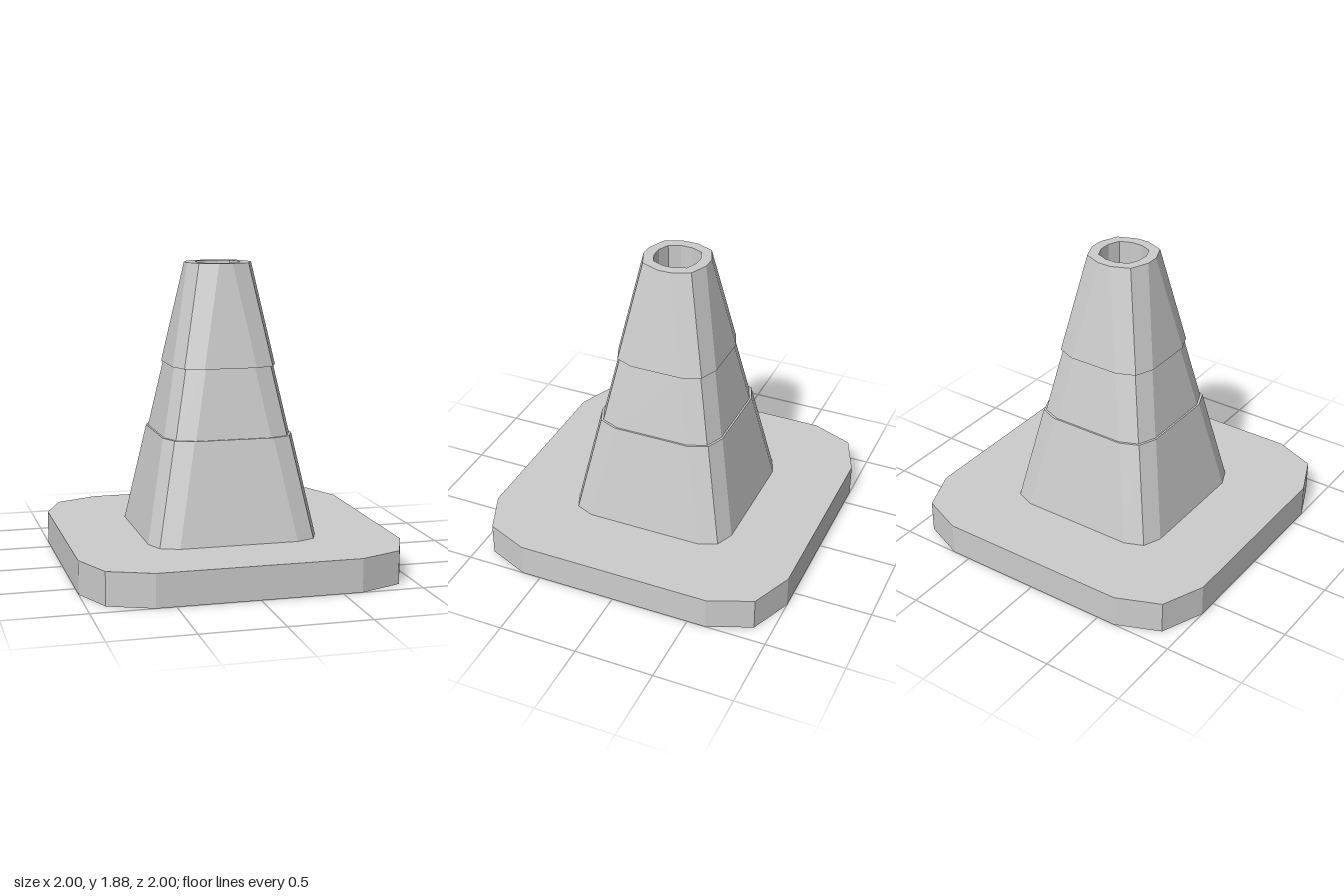
import * as THREE from 'three';

// Square outline with rounded corners, two facets per corner
function roundedSquare(half, radius) {
  const pts = [];
  for (let k = 0; k < 4; k++) {
    const mid = (k + 0.5) * Math.PI / 2;
    const cx = Math.sign(Math.cos(mid)) * (half - radius);
    const cy = Math.sign(Math.sin(mid)) * (half - radius);
    for (let j = 0; j < 3; j++) {
      const a = k * Math.PI / 2 + j * Math.PI / 4;
      pts.push(new THREE.Vector2(cx + radius * Math.cos(a), cy + radius * Math.sin(a)));
    }
  }
  return pts;
}

function circle(radius, sides) {
  return Array.from({ length: sides }, (_, i) => {
    const a = (i + 0.5) * 2 * Math.PI / sides;
    return new THREE.Vector2(radius * Math.cos(a), radius * Math.sin(a));
  });
}

// Flat-sided skin through [outline, y] sections
function loft(sections) {
  const pos = [];
  const put = ([outline, y], i) => {
    const p = outline[i % outline.length];
    pos.push(p.x, y, -p.y);
  };
  for (let s = 0; s + 1 < sections.length; s++) {
    const lo = sections[s], hi = sections[s + 1];
    for (let i = 0; i < lo[0].length; i++) {
      put(lo, i); put(lo, i + 1); put(hi, i + 1);
      put(lo, i); put(hi, i + 1); put(hi, i);
    }
  }
  const geo = new THREE.BufferGeometry();
  geo.setAttribute('position', new THREE.Float32BufferAttribute(pos, 3));
  geo.computeVertexNormals();
  return geo;
}

// Horizontal plate, facing up or down, with an optional hole
function plate(outline, y, up, hole) {
  const shape = new THREE.Shape(outline);
  if (hole) shape.holes.push(new THREE.Path(hole));
  return new THREE.ShapeGeometry(shape).rotateX(up ? -Math.PI / 2 : Math.PI / 2).translate(0, y, 0);
}

export function createModel() {
  const group = new THREE.Group();
  const grey = new THREE.MeshStandardMaterial({ color: 0xcccccc, flatShading: true });
  grey.name = 'plain grey';
  const add = (name, geo) => {
    const mesh = new THREE.Mesh(geo, grey);
    mesh.name = name;
    group.add(mesh);
  };
  const body = (half) => roundedSquare(half, 0.162);

  // Base slab with a tapered recess underneath
  const slab = roundedSquare(1, 0.38);
  const recessRim = circle(0.52, 16), recessTop = circle(0.4, 16);
  add('baseSides', loft([[slab, 0], [slab, 0.205]]));
  add('baseTop', plate(slab, 0.205, true, body(0.531)));
  add('baseUnderside', plate(slab, 0, false, recessRim));
  add('recessWall', loft([[recessTop, 0.27], [recessRim, 0]]));
  add('recessCeiling', plate(recessTop, 0.27, false));

  // Cone in three bands; the middle one is set in slightly
  add('lowerBand', loft([[body(0.531), 0.205], [body(0.409), 0.832], [body(0.398), 0.832]]));
  add('middleBand', loft([[body(0.398), 0.832], [body(0.316), 1.254]]));

  // Upper band carries the rim and the hole in the top
  const hole = roundedSquare(0.138, 0.102);
  add('upperBand', loft([
    [body(0.316), 1.254], [body(0.326), 1.254], [body(0.204), 1.882], [hole, 1.882], [hole, 1.6],
  ]));
  add('holeFloor', plate(hole, 1.6, true));
  return group;
}
